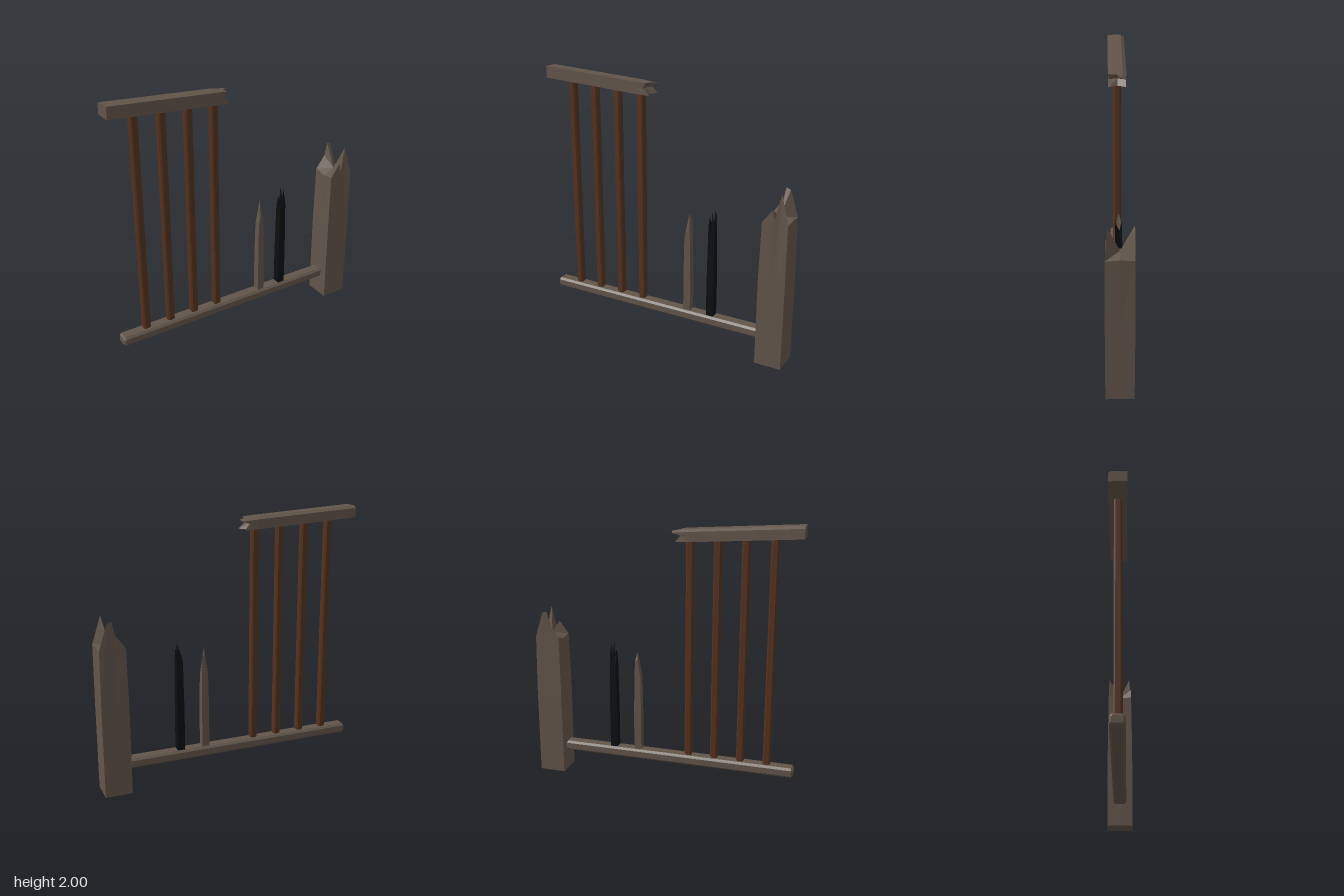
import * as THREE from 'three';

const mat = (name, color) => {
  const m = new THREE.MeshStandardMaterial({ color, flatShading: true });
  m.name = name;
  return m;
};

// Beam with chamfered edges and ends, centred, running along z
function chamferedBeam(w, h, length, c) {
  const x = w / 2 - c, y = h / 2 - c;
  const s = new THREE.Shape();
  const k = c * 0.5;
  s.moveTo(-x + k, -y);
  [[x - k, -y], [x, -y + k], [x, y - k], [x - k, y], [-x + k, y], [-x, y - k], [-x, -y + k]]
    .forEach(p => s.lineTo(p[0], p[1]));
  s.closePath();
  const g = new THREE.ExtrudeGeometry(s, {
    depth: length - 2 * c, bevelEnabled: true, bevelThickness: c, bevelSize: c, bevelSegments: 1,
  });
  return g.translate(0, 0, c - length / 2);
}

// Upright timber with a snapped top. Each ring entry is [u, v, height, inset]:
// u, v lie on the square outline; the top point is pulled inward by inset.
// centre is the [x, height, z] point inside the break.
function splintered(w, d, shoulder, ring, centre) {
  const pos = [];
  const tri = (...pts) => pts.forEach(p => pos.push(...p));
  const at = ([u, v], y, f = 1) => [u * w * f, y, v * d * f];
  ring.forEach((p, i) => {
    const q = ring[(i + 1) % ring.length];
    const levels = [
      [at(p, 0), at(q, 0)],
      [at(p, shoulder), at(q, shoulder)],
      [at(p, p[2], p[3]), at(q, q[2], q[3])],
    ];
    for (let j = 0; j < 2; j++) {
      const [a, b] = levels[j], [e, c] = levels[j + 1];
      tri(a, b, c);
      tri(a, c, e);
    }
    tri(centre, ...levels[2]);
    tri([0, 0, 0], levels[0][1], levels[0][0]);
  });
  const g = new THREE.BufferGeometry();
  g.setAttribute('position', new THREE.Float32BufferAttribute(pos, 3));
  g.computeVertexNormals();
  return g;
}

export function createModel() {
  const group = new THREE.Group();
  const weathered = mat('weatheredWood', 0x62554a);
  const brown = mat('brownWood', 0x55321f);
  const charred = mat('charredWood', 0x0b0e10);

  const add = (name, geometry, material, x = 0, y = 0, z = 0) => {
    const mesh = new THREE.Mesh(geometry, material);
    mesh.name = name;
    mesh.position.set(x, y, z);
    group.add(mesh);
    return mesh;
  };

  // Lower rail
  add('lowerRail', chamferedBeam(0.1, 0.075, 1.8, 0.014).rotateY(Math.PI / 2), weathered, -0.1, 0.205, 0);

  // Whole spindles, each reaching into the sloping upper rail
  [-0.8, -0.6, -0.4, -0.2].forEach((x, i) => {
    const top = 1.925 - 0.062 * (x + 1);
    const g = chamferedBeam(0.056, 0.056, top - 0.24, 0.01).rotateX(-Math.PI / 2);
    add('spindle' + (i + 1), g, brown, x, (top + 0.24) / 2, 0);
  });

  // Upper rail: snapped timber laid along x and sheared so its end stays upright
  const railGeo = splintered(0.044, 0.066, 0.8, [
    [-1, 1, 0.87, 0.97], [0, 1, 0.85, 0.95], [1, 1, 0.9, 0.97],
    [1, 0, 0.87, 0.95], [1, -1, 0.9, 0.93],
    [0, -1, 0.86, 0.9], [-0.6, -1, 0.92, 0.85], [-1, -0.6, 0.93, 0.8],
    [-1, 0, 0.88, 0.95],
  ], [0, 0.84, 0]);
  const slope = 0.062;
  railGeo.applyMatrix4(new THREE.Matrix4().set(
    0, 1, 0, -1,
    -1, -slope, 0, 1.956,
    0, 0, 1, 0,
    0, 0, 0, 1));
  add('brokenUpperRail', railGeo, weathered);

  // Broken end post with a tall splinter at the front and another at the back
  add('brokenPost', splintered(0.1, 0.1, 0.65, [
    [-1, 1, 1.09, 0.93], [-0.2, 1, 1.19, 0.93], [0, 1, 1.12, 0.92], [0.45, 1, 1.31, 0.8],
    [1, 1, 1.1, 0.98], [1, 0, 1.11, 0.99], [1, -1, 1.1, 0.94],
    [0.35, -1, 1.29, 0.94], [0, -1, 1.3, 0.92], [-0.25, -1, 1.2, 0.92],
    [-1, -1, 1.1, 0.95], [-1, 0, 1.08, 0.95],
  ], [0, 1.12, 0]), weathered, 0.9, 0, 0);

  // Broken spindle with a single point
  add('brokenSpindle', splintered(0.028, 0.028, 0.3, [
    [-1, 1, 0.58, 0.9], [-0.5, 1, 0.64, 0.85], [0.3, 1, 0.62, 0.85], [1, 1, 0.56, 0.85],
    [1, 0, 0.6, 0.85], [1, -1, 0.71, 0.7], [0, -1, 0.72, 0.75],
    [-1, -1, 0.58, 0.85], [-1, 0, 0.6, 0.85],
  ], [0.001, 0.78, -0.004]), weathered, 0.2, 0.24, 0);

  // Charred spindle with a ragged crown of splinters
  add('charredSpindle', splintered(0.028, 0.03, 0.3, [
    [-1, 1, 0.72, 0.85], [-0.7, 1, 0.78, 0.8], [-0.4, 1, 0.66, 0.8], [-0.1, 1, 0.7, 0.85],
    [0.2, 1, 0.84, 0.7], [0.6, 1, 0.76, 0.8], [1, 1, 0.7, 0.85],
    [1, 0.3, 0.79, 0.75], [1, -0.3, 0.68, 0.8], [1, -1, 0.77, 0.75],
    [0.4, -1, 0.83, 0.7], [0, -1, 0.7, 0.85], [-0.5, -1, 0.76, 0.8],
    [-1, -1, 0.68, 0.85], [-1, 0, 0.75, 0.8], [-1, 0.5, 0.66, 0.85],
  ], [0.003, 0.7, 0]), charred, 0.395, 0.24, 0);

  return group;
}
